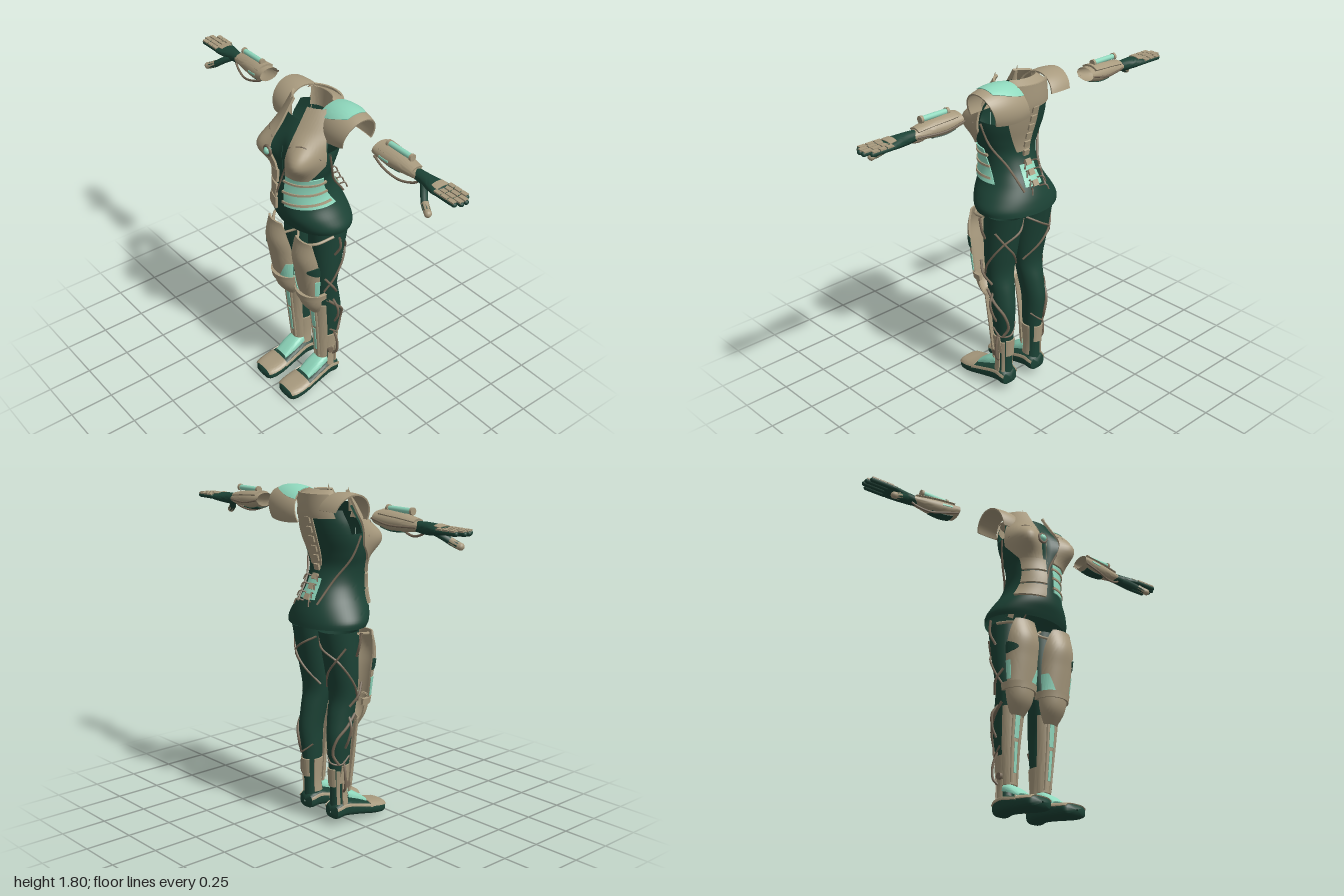
import * as THREE from 'three';
import { toCreasedNormals } from 'three/addons/utils/BufferGeometryUtils.js';

const mat = (name, color) => new THREE.MeshStandardMaterial({ name, color, side: THREE.DoubleSide });
const suit = mat('dark green suit', 0x1c4336), armor = mat('tan armor', 0xa89a7e);
const mint = mat('mint panel', 0x8fd8bd), cable = mat('brown cable', 0x786a58);
const V = (x, y, z) => new THREE.Vector3(x, y, z);
const TAU = Math.PI * 2;

// Smooth interpolation of cross-section rows [position, ...values]
function rowAt(rows, p) {
  const n = rows.length - 1;
  if (p <= rows[0][0]) return rows[0];
  if (p >= rows[n][0]) return rows[n];
  let i = 0;
  while (p > rows[i + 1][0]) i++;
  const a = rows[i], b = rows[i + 1], h = b[0] - a[0], t = (p - a[0]) / h;
  const pre = rows[Math.max(i - 1, 0)], post = rows[Math.min(i + 2, n)];
  return a.map((_, k) => {
    const m0 = (b[k] - pre[k]) / (b[0] - pre[0]), m1 = (post[k] - a[k]) / (post[0] - a[0]);
    const t2 = t * t, t3 = t2 * t;
    return (2 * t3 - 3 * t2 + 1) * a[k] + (t3 - 2 * t2 + t) * h * m0 + (3 * t2 - 2 * t3) * b[k] + (t3 - t2) * h * m1;
  });
}

// Point on a surface S(u, v), pushed out along its normal
function lift(S, u, v, off) {
  const p = S(u, v), e = 1e-3;
  if (!off) return p;
  const n = S(u + e, v).sub(S(u - e, v)).cross(S(u, v + e).sub(S(u, v - e))).normalize();
  return p.addScaledVector(n, off);
}

function add(g, name, geo, m, pos) {
  const mesh = new THREE.Mesh(geo, m);
  mesh.name = name;
  if (pos) mesh.position.copy(pos);
  g.add(mesh);
  return mesh;
}

// Plate lying on a surface, its rim folded back down when raised
function patch(g, name, m, S, u0, u1, v0, v1, off = 0.01, nu = 22, nv = 12) {
  const f = (e, t) => (typeof e === 'function' ? e(t) : e), pos = [], idx = [], r = off ? 1 : 0;
  for (let j = -r; j <= nv + r; j++) for (let i = -r; i <= nu + r; i++) {
    const t = Math.min(Math.max(j, 0), nv) / nv, s = Math.min(Math.max(i, 0), nu) / nu;
    const rim = i < 0 || j < 0 || i > nu || j > nv;
    const a = Math.min(f(u0, t), f(u1, t)), b = Math.max(f(u0, t), f(u1, t));
    pos.push(...lift(S, a + (b - a) * s, v0 + (v1 - v0) * t, rim ? 0 : off));
  }
  const w = nu + 1 + 2 * r, h = nv + 1 + 2 * r;
  for (let j = 0; j < h - 1; j++) for (let i = 0; i < w - 1; i++) {
    const a = j * w + i;
    idx.push(a, a + 1, a + w + 1, a, a + w + 1, a + w);
  }
  const geo = new THREE.BufferGeometry();
  geo.setAttribute('position', new THREE.Float32BufferAttribute(pos, 3));
  geo.setIndex(idx);
  return add(g, name, toCreasedNormals(geo, 0.8), m);
}

const tube = (g, name, pts, r = 0.006, m = cable) =>
  add(g, name, new THREE.TubeGeometry(new THREE.CatmullRomCurve3(pts), 24, r, 7), m);
const wrap = (g, name, S, uv, r, m) => tube(g, name, uv.map(([u, v]) => lift(S, u, v, 0.006)), r, m);

// Upright surface from rows [y, xInner, xOuter, zFront, zBack]; u = 0 faces front
const upright = rows => (u, y) => {
  const [, a, b, f, k] = rowAt(rows, y);
  return V((a + b) / 2 + (b - a) / 2 * Math.sin(u), y, (f + k) / 2 + (f - k) / 2 * Math.cos(u));
};

function torso(g) {
  const body = upright([[1.1, -.235, .235, .125, -.225], [1.13, -.24, .24, .14, -.222], [1.18, -.215, .215, .16, -.21],
    [1.25, -.17, .17, .165, -.18], [1.32, -.15, .15, .165, -.14], [1.4, -.155, .155, .155, -.112],
    [1.47, -.175, .175, .145, -.12], [1.55, -.19, .19, .14, -.145], [1.62, -.185, .185, .13, -.165],
    [1.68, -.165, .165, .1, -.178], [1.79, -.13, .13, .03, -.18]]);
  const S = (u, y) => {
    const a = Math.atan2(Math.sin(u), Math.cos(u));
    const b = Math.exp(-(((Math.abs(a) - .62) / .42) ** 2) - ((y - 1.54) / .075) ** 2);
    const p = body(u, y);
    p.z += .07 * b;
    p.x += Math.sign(a) * .035 * b;
    return p;
  };
  patch(g, 'bodice and skirt', suit, S, 0, TAU, 1.1, 1.58, 0, 64, 40);
  patch(g, 'upper front suit', suit, S, -1.4, 1.4, 1.58, 1.72, 0, 40, 12);
  patch(g, 'upper back suit', suit, S, 2.15, TAU - 1.85, 1.58, 1.7, 0);
  // Chest and shoulder plates
  for (const s of [1, -1]) {
    patch(g, 'chest plate', armor, S, t => s * (.2 + .2 * t), t => s * Math.min(1 + 1.6 * t, 1.5 - .35 * t), 1.432, 1.78, .012, 24, 24);
    wrap(g, 'chest seam', (u, v) => lift(S, u, v, .007), [[.3 * s, 1.6], [.7 * s, 1.62], [1.2 * s, 1.56]], .003);
    const spike = add(g, 'collar spike', new THREE.ConeGeometry(.02, .13, 5), armor, V(s * .075, 1.745, .04));
    spike.rotation.x = -.25;
  }
  // Abdomen: segmented plates on one side, banded mint panel on the other
  for (const y of [1.205, 1.285, 1.365]) patch(g, 'abdomen plate', armor, S, -1, -.12, y, y + .068, .014, 14, 6);
  patch(g, 'waist panel', mint, S, .2, t => 1.88 - .3 * t, 1.25, 1.427, .006);
  for (const y of [1.268, 1.328, 1.388]) patch(g, 'waist band', armor, S, .15, 1.75, y, y + .012, .012, 22, 2);
  // Chest gem
  const p = lift(S, -.28, 1.54, .022);
  add(g, 'gem ring', new THREE.TorusGeometry(.024, .008, 8, 20), cable, p);
  add(g, 'gem', new THREE.SphereGeometry(.021, 16, 10), mint, p);
  // Back plates, spine and lower back panel
  patch(g, 'back yoke', armor, S, 2.2, TAU - 2.2, 1.66, 1.78, .01);
  patch(g, 'back plate', armor, S, t => 2.8 - .55 * t, 3.32, 1.41, 1.67, .006);
  patch(g, 'lower back panel', mint, S, 2.8, 3.42, 1.24, 1.345, .006);
  for (let i = 0; i < 9; i++) {
    const v = add(g, 'spine segment', new THREE.BoxGeometry(.036, .032, .016), armor, lift(S, Math.PI, 1.25 + i * .05, .006));
    v.rotation.x = i < 3 ? .5 : -.25;
    if (i < 4) for (const s of [1, -1]) {
      const a = lift(S, Math.PI + s * .15, 1.23 + i * .04, 0);
      tube(g, 'spine hook', [a, a.clone().add(V(-s * .02, .01, -.03)), a.clone().add(V(-s * .03, -.015, -.04))], .004);
    }
  }
  for (const s of [1, -1]) wrap(g, 'side cable', S, [[s * 1.5, 1.57], [s * 1.9, 1.46], [s * 2.4, 1.34], [s * 2.75, 1.22]], .006);
  wrap(g, 'front cable', S, [[.25, 1.5], [.05, 1.4], [-.1, 1.32], [-.35, 1.2]], .005);
  // Neck collar sloping in from the yoke
  const deck = upright([[1.76, -.13, .13, 0, -.185], [1.795, -.085, .085, -.04, -.125]]);
  patch(g, 'collar', armor, deck, 1.75, TAU - 1.75, 1.76, 1.795, .004);
  const neck = upright([[1.7, -.075, .075, -.01, -.115], [1.795, -.085, .085, -.04, -.122]]);
  patch(g, 'collar lining', armor, neck, 1.9, TAU - 1.9, 1.7, 1.795, 0);
  // Pauldrons: arched sleeves along x
  const arch = (cz, rz, cy, ry, mid, drop) => (a, x) => {
    const k = 1 - drop * ((x - mid) / .1) ** 2;
    return V(x + Math.sign(x) * .03 * (Math.cos(a) - 1), cy + ry * k * Math.cos(a), cz + rz * k * Math.sin(a));
  };
  const L = arch(-.1, .112, 1.675, .118, .19, .12);
  patch(g, 'left pauldron', armor, L, -2, 1.9, .1, .31, .008, 28, 12);
  patch(g, 'left pauldron cap', mint, (a, x) => lift(L, a, x, .008), t => -.95 + .45 * t * t, t => 1 - .5 * t * t, .102, .262, .004);
  const R = arch(-.08, .12, 1.675, .11, -.18, .12);
  patch(g, 'right pauldron', armor, R, -1.3, 1.8, -.245, -.12, .008, 28, 10);
}

function leg(g) {
  const S = upright([[.1, .06, .15, -.01, -.115], [.2, .067, .145, -.02, -.115], [.35, .06, .155, -.005, -.125],
    [.5, .055, .17, .005, -.14], [.62, .04, .175, .025, -.125], [.72, .025, .185, .035, -.105],
    [.85, .012, .198, .04, -.125], [1.08, .002, .205, .045, -.175]]);
  patch(g, 'legging', suit, S, 0, TAU, .1, 1.08, 0, 36, 40);
  // Thigh guard
  const T = upright([[.71, .03, .188, .105, .01], [.85, .025, .2, .13, -.01], [.95, .025, .203, .145, -.01], [1.05, .035, .193, .12, .02]]);
  patch(g, 'thigh guard', armor, T, t => -1.4 + .75 * t ** 4, t => 1.45 - .6 * t ** 4, .71, 1.06, .01, 26, 20);
  const T2 = (u, y) => lift(T, u, y, .01);
  patch(g, 'inner thigh panel', mint, T2, -1.38, t => -.3 - .55 * t, .705, .8, .004);
  patch(g, 'outer thigh panel', mint, T2, 1.1, 1.44, .72, .82, .004);
  patch(g, 'outer thigh notch', suit, T2, t => 1.25 - .6 * Math.sin(t * Math.PI), 1.44, .86, .92, .004);
  tube(g, 'thigh strap', [V(.14, 1.04, .11), V(.18, 1.05, .07), V(.205, 1.07, -.02)], .008, armor);
  tube(g, 'hip strap', [V(-.03, 1.06, .05), V(.01, 1.03, .06), V(.06, 1.0, .11)], .007, armor);
  // Knee band and cap
  const K = upright([[.55, .075, .14, .045, .0], [.62, .04, .172, .095, -.03], [.71, .025, .188, .115, -.04]]);
  patch(g, 'knee cap', armor, K, -1.5, 1.5, .55, .7, .008);
  patch(g, 'knee band', armor, K, -1.75, 1.75, .675, .71, .018, 24, 3);
  // Shin guard
  const H = upright([[.18, .068, .143, .0, -.09], [.4, .06, .162, .02, -.09], [.6, .045, .175, .04, -.07]]);
  patch(g, 'shin guard', armor, H, -1.3, 1.3, .19, .6, .007);
  const H2 = (u, y) => lift(H, u, y, .007);
  patch(g, 'upper shin strip', mint, H2, -.2, .2, .43, .57, .004);
  patch(g, 'lower shin strip', mint, H2, -.14, .14, .25, .41, .004);
  for (const u of [-.35, .35]) wrap(g, 'shin ridge', H, [[u, .2], [u, .4], [u, .57]], .008, armor);
  // Ankle brace
  patch(g, 'outer ankle brace', armor, S, t => .7 + .3 * t, t => 2.1 - .2 * t, .25, .35, .008);
  patch(g, 'ankle strut', armor, S, 1.05, 1.75, .12, .26, .009);
  patch(g, 'rear ankle strut', armor, S, 2.05, 2.4, .13, .32, .009);
  patch(g, 'heel brace', armor, S, 2.5, 3.8, .23, .33, .008);
  patch(g, 'inner ankle brace', armor, S, 4.3, 5.4, .14, .33, .008);
  const hub = add(g, 'ankle hub', new THREE.CylinderGeometry(.018, .018, .02, 14), cable, V(.155, .24, -.05));
  hub.rotation.z = Math.PI / 2;
  // Foot: rows [z, halfWidth, yTop, yBottom]
  const footS = rows => (u, z) => {
    const [, w, t, b] = rowAt(rows, z), c = Math.cos(u), s = Math.sin(u);
    const q = n => Math.sign(n) * Math.abs(n) ** .65;
    return V(.106 - w * q(s), (t + b) / 2 + (t - b) / 2 * q(c), z);
  };
  const F = footS([[-.123, .005, .09, .08], [-.118, .045, .12, .05], [-.05, .055, .14, .05], [.05, .066, .115, .035],
    [.14, .076, .09, .018], [.2, .072, .078, .01], [.23, .055, .068, .015], [.24, .005, .045, .035]]);
  patch(g, 'boot', suit, F, 0, TAU, -.123, .24, 0, 36, 36);
  patch(g, 'toe cap', armor, F, -1.3, 1.3, .11, .226, .005);
  for (const s of [1, -1]) patch(g, 'boot side band', armor, F, s * 1.05, s * 1.4, -.112, .12, .006, 8, 20);
  const I = footS([[-.035, .042, .2, .1], [.03, .048, .165, .09], [.1, .042, .115, .08]]);
  patch(g, 'instep plate', mint, I, -1.5, 1.5, -.035, .1, .004);
  // Wrapped and hanging cables
  wrap(g, 'thigh cable', S, [[.9, .7], [1.6, .8], [2.4, .92], [3.4, .99], [4.2, 1.03]]);
  wrap(g, 'rear thigh cable', S, [[2, 1.0], [2.6, .93], [3.2, .86], [4.2, .76]]);
  wrap(g, 'calf cable', S, [[1.1, .63], [1.7, .57], [2.4, .5], [2.7, .42], [2.2, .36]], .008);
  wrap(g, 'shin wrap', S, [[1.2, .4], [2, .36], [3, .37], [4.2, .42]], .005);
  tube(g, 'hip cable', [V(.24, 1.08, -.03), V(.235, 1.01, -.04), V(.205, .95, -.03)], .007);
  tube(g, 'knee cable', [V(.19, .8, .02), V(.21, .74, -.02), V(.185, .68, -.06)], .007);
  tube(g, 'outer calf cable', [V(.17, .62, -.05), V(.2, .57, -.06), V(.19, .5, -.07), V(.165, .45, -.07)], .007);
  tube(g, 'ankle cable', [V(.15, .38, -.07), V(.175, .31, -.08), V(.175, .23, -.08), V(.15, .2, -.07)], .007);
}

function arm(g) {
  // Rows along x: [x, halfDepth, yTop, yBottom]
  const along = rows => (u, x) => {
    const [, d, t, b] = rowAt(rows, x);
    return V(x, (t + b) / 2 + (t - b) / 2 * Math.cos(u), -.1 + d * Math.sin(u));
  };
  const A = along([[.44, .057, 1.735, 1.665], [.52, .054, 1.733, 1.645], [.6, .045, 1.725, 1.647], [.71, .03, 1.705, 1.66]]);
  patch(g, 'forearm guard', armor, A, 0, TAU, .44, .71, 0, 28, 14);
  patch(g, 'forearm top plate', armor, A, -.9, .9, .47, .69, .01);
  patch(g, 'forearm side panel', mint, A, 1.4, 1.6, .49, .55, .004, 6, 6);
  patch(g, 'forearm dark inset', suit, A, 2.6, 3.7, .47, .6, .004);
  const cyl = (name, r, l, x, m) => { add(g, name, new THREE.CylinderGeometry(r, r, l, 14), m, V(x, 1.748, -.1)).rotation.z = Math.PI / 2; };
  cyl('forearm canister', .014, .15, .575, mint);
  for (const x of [.497, .653]) cyl('canister end', .018, .014, x, armor);
  tube(g, 'forearm cable', [V(.45, 1.675, -.05), V(.53, 1.645, -.045), V(.62, 1.625, -.06), V(.7, 1.645, -.08), V(.73, 1.67, -.09)]);
  tube(g, 'rear forearm cable', [V(.44, 1.7, -.16), V(.55, 1.68, -.158), V(.7, 1.68, -.13)], .005);
  // Hand
  const P = along([[.69, .028, 1.708, 1.656], [.75, .034, 1.71, 1.65], [.82, .05, 1.706, 1.655], [.865, .05, 1.698, 1.664], [.88, .01, 1.687, 1.678]]);
  patch(g, 'palm', suit, P, 0, TAU, .69, .88, 0, 24, 16);
  patch(g, 'knuckle plate', armor, P, -.7, .7, .82, .858, .004);
  [[-.145, .97], [-.116, .997], [-.087, .997], [-.06, .98]].forEach(([z, end]) => {
    const l = end - .85;
    const f = add(g, 'finger', new THREE.CapsuleGeometry(.0125, l - .012, 5, 10), suit, V(.85 + l / 2, 1.682, z));
    f.rotation.z = Math.PI / 2;
    for (let i = 0; i < 3; i++)
      add(g, 'finger plate', new THREE.BoxGeometry(l / 3 - .006, .008, .022), armor, V(.85 + l * (i + .5) / 3, 1.693, z));
  });
  tube(g, 'thumb', [V(.75, 1.675, -.09), V(.79, 1.65, -.055), V(.83, 1.62, -.025), V(.86, 1.605, -.012)], .018, suit);
  tube(g, 'thumb guard', [V(.825, 1.625, -.028), V(.85, 1.61, -.016), V(.872, 1.6, -.006)], .0185, armor);
  add(g, 'thumb tip', new THREE.SphereGeometry(.0185, 12, 8), armor, V(.872, 1.6, -.006));
}

export function createModel() {
  const model = new THREE.Group();
  model.name = 'armored suit';
  const part = (name, build) => {
    const g = new THREE.Group();
    g.name = name;
    build(g);
    model.add(g);
    return g;
  };
  part('torso', torso);
  for (const [name, build] of [['Leg', leg], ['Arm', arm]]) {
    part('left' + name, build);
    part('right' + name, build).scale.x = -1;
  }
  return model;
}
